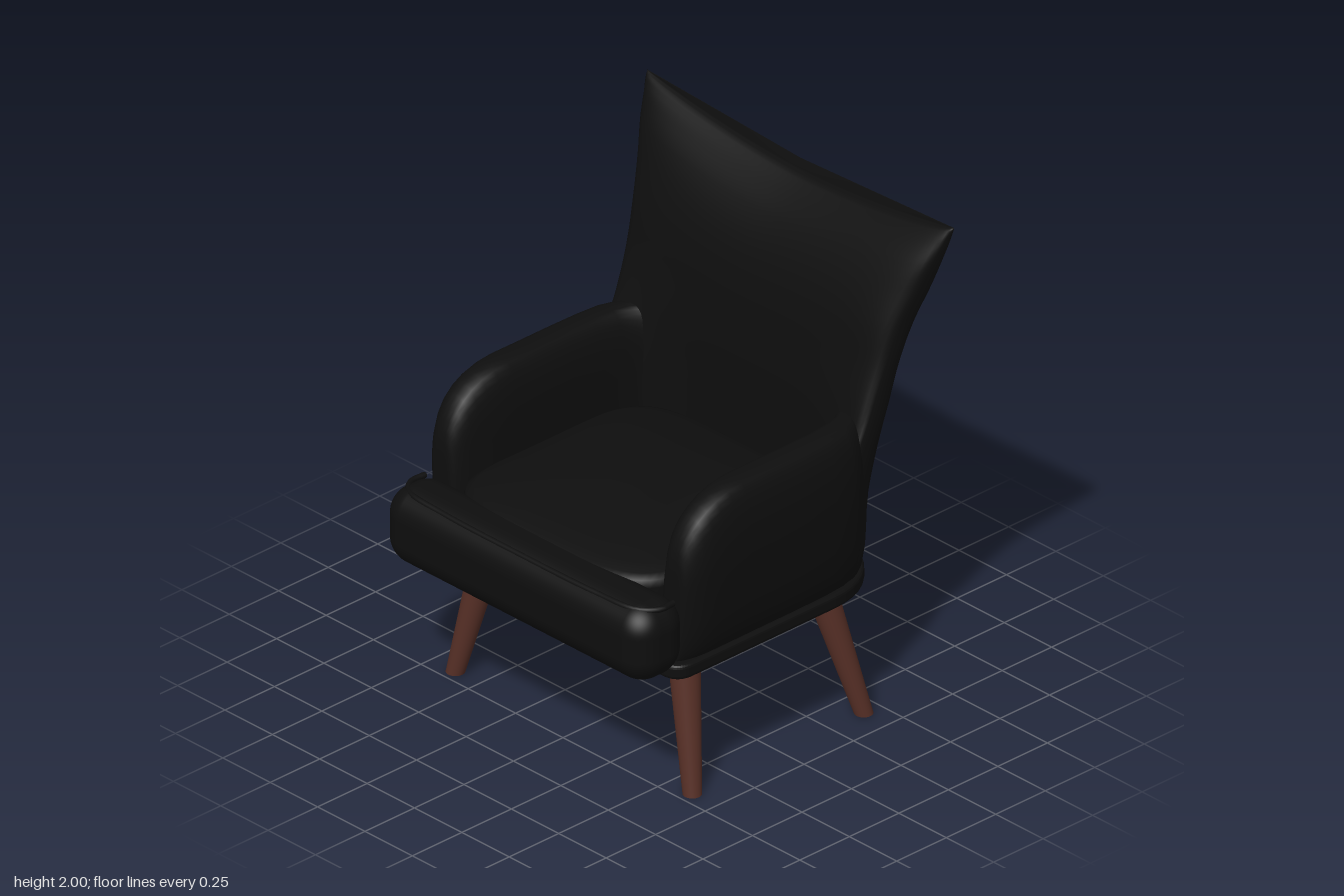
import * as THREE from 'three';
import { RoundedBoxGeometry } from 'three/addons/geometries/RoundedBoxGeometry.js';

const TAU = Math.PI * 2;
const power = (v, e) => Math.sign(v) * Math.abs(v) ** e;
// Quarter-round falloff from 1 at t <= 0 to 0 at t >= 1
const dome = t => Math.sqrt(1 - THREE.MathUtils.clamp(t, 0, 1) ** 2);

// Smooth skin over closed rings of [x, y, z] points, capped at both ends
function loft(rings) {
  const n = rings[0].length, pos = rings.flat(2), index = [];
  for (let i = 0; i < rings.length - 1; i++) {
    for (let j = 0; j < n; j++) {
      const k = (j + 1) % n, a = i * n, b = a + n;
      index.push(a + j, b + j, a + k, a + k, b + j, b + k);
    }
  }
  [0, rings.length - 1].forEach((r, end) => {
    const c = pos.length / 3;
    for (let d = 0; d < 3; d++) pos.push(rings[r].reduce((s, p) => s + p[d], 0) / n);
    for (let j = 0; j < n; j++) {
      const p = r * n + j, q = r * n + (j + 1) % n;
      index.push(c, end ? q : p, end ? p : q);
    }
  });
  const g = new THREE.BufferGeometry();
  g.setAttribute('position', new THREE.Float32BufferAttribute(pos, 3));
  g.setIndex(index);
  g.computeVertexNormals();
  return g;
}

const ring = (n, fn) => Array.from({ length: n }, (_, j) => fn((j / n) * TAU));

// Smooth interpolation through rows of [key, ...values]
function table(rows) {
  const size = rows[0].length - 1;
  const f = new THREE.CubicInterpolant(rows.map(r => r[0]), rows.flatMap(r => r.slice(1)), size, new Float32Array(size));
  return t => Array.from(f.evaluate(t));
}

// Flared back: height, half width, back z, front z, wing advance, edge z
function backGeometry() {
  const rows = [
    [0.57, 0.63, -0.575, -0.41, 0.12, -0.28],
    [0.62, 0.655, -0.58, -0.41, 0.13, -0.28],
    [0.9, 0.665, -0.603, -0.41, 0.13, -0.3],
    [1.1, 0.67, -0.635, -0.41, 0.12, -0.36],
    [1.25, 0.67, -0.66, -0.41, 0.07, -0.44],
    [1.4, 0.678, -0.69, -0.425, 0.02, -0.5],
    [1.55, 0.7, -0.73, -0.45, 0.01, -0.57],
    [1.67, 0.735, -0.757, -0.49, 0, -0.63],
    [1.78, 0.77, -0.772, -0.55, 0, -0.665],
    [1.85, 0.79, -0.772, -0.605, 0, -0.685],
    [1.895, 0.803, -0.755, -0.65, 0, -0.695],
    [1.912, 0.808, -0.73, -0.675, 0, -0.7],
    [1.918, 0.81, -0.705, -0.698, 0, -0.7],
  ];
  const at = table(rows), heights = [];
  for (let i = 0; i < rows.length - 1; i++) {
    for (let s = 0; s < 4; s++) heights.push(rows[i][0] + (rows[i + 1][0] - rows[i][0]) * s / 4);
  }
  heights.push(1.918);
  return loft(heights.map(y => {
    const [w, zb, zf, rise, zm] = at(y);
    const lift = 0.082 * THREE.MathUtils.smoothstep(y, 1.1, 1.9);
    return ring(72, a => {
      const u = Math.cos(a), front = Math.sin(a) >= 0, n = front ? 3.5 : 2.5;
      const face = front ? zf + rise * u ** 4 : zb;
      const z = zm + (face - zm) * Math.max(0, 1 - Math.abs(u) ** n) ** (1 / n);
      return [u * w, y + lift * Math.abs(u) ** 1.7, z];
    });
  }));
}

// Padded arm, skinned from its rounded front to where it sinks into the back
function armGeometry(side) {
  const zs = [0.53, 0.527, 0.52, 0.505, 0.48, 0.45, 0.41, 0.36, 0.3, 0.23, 0.1, -0.05, -0.2, -0.3, -0.36, -0.41, -0.46];
  const span = table([
    [-0.46, 0.42, 0.59], [-0.41, 0.46, 0.645], [-0.36, 0.49, 0.685], [-0.3, 0.5, 0.708],
    [-0.2, 0.51, 0.716], [0.1, 0.51, 0.72], [0.3, 0.515, 0.72], [0.42, 0.525, 0.715], [0.53, 0.535, 0.695],
  ]);
  return loft(zs.map(z => {
    const [inner, outer] = span(z);
    const round = dome((z - 0.44) / 0.09);
    const half = (outer - inner) / 2 * (0.5 + 0.5 * round);
    const top = 0.99 + 0.255 * dome((z - 0.23) / 0.3) - 0.03 * (1 - round);
    const low = 0.56, mid = (low + top) / 2;
    return ring(40, a => {
      const y = mid + (top - low) / 2 * power(Math.sin(a), 0.68);
      const lean = 0.02 * Math.min(0, (y - 0.95) / 0.35);
      return [side * ((inner + outer) / 2 + lean) + half * power(Math.cos(a), 0.68), y, z];
    });
  }));
}

// Crowned seat pad: outline scale and height
function seatGeometry() {
  const rows = [[0.96, 0.6], [1, 0.65], [1, 0.84], [0.985, 0.868], [0.94, 0.882], [0.85, 0.896],
    [0.7, 0.914], [0.5, 0.932], [0.28, 0.944], [0.05, 0.948]];
  return loft(rows.map(([s, y]) => ring(56, a => [
    0.55 * s * power(Math.cos(a), 0.45), y, 0.1 + 0.53 * s * power(Math.sin(a), 0.45),
  ])));
}

// Thin base with broad rear corners and tight front corners
function baseGeometry() {
  const b = 0.015, w = 0.68 - b, f = 0.575 - b, r = -0.585 + b, big = 0.34, small = 0.07;
  const s = new THREE.Shape();
  s.moveTo(-w + small, -f);
  s.lineTo(w - small, -f);
  s.quadraticCurveTo(w, -f, w, -f + small);
  s.lineTo(w, -r - big);
  s.bezierCurveTo(w, -r - big * 0.4, w - big * 0.5, -r, w - big * 1.3, -r);
  s.lineTo(-w + big * 1.3, -r);
  s.bezierCurveTo(-w + big * 0.5, -r, -w, -r - big * 0.4, -w, -r - big);
  s.lineTo(-w, -f + small);
  s.quadraticCurveTo(-w, -f, -w + small, -f);
  const g = new THREE.ExtrudeGeometry(s, { depth: 0.03, bevelThickness: b, bevelSize: b, bevelSegments: 3, curveSegments: 12 });
  return g.rotateX(-Math.PI / 2).translate(0, 0.53 + b, 0);
}

// Tapered leg, sheared so both ends stay level
function legGeometry(top, foot) {
  const h = 0.55, g = new THREE.CylinderGeometry(0.063, 0.036, h, 28).translate(0, h / 2, 0);
  const m = new THREE.Matrix4().set(
    1, (top[0] - foot[0]) / h, 0, foot[0],
    0, 1, 0, 0,
    0, (top[1] - foot[1]) / h, 1, foot[1],
    0, 0, 0, 1);
  return g.applyMatrix4(m);
}

export function createModel() {
  const model = new THREE.Group();
  const fabric = new THREE.MeshStandardMaterial({ color: 0x0e0e0e });
  fabric.name = 'black fabric';
  const wood = new THREE.MeshStandardMaterial({ color: 0x562f26 });
  wood.name = 'dark wood';
  const add = (name, geometry, material = fabric) => {
    const mesh = new THREE.Mesh(geometry, material);
    mesh.name = name;
    model.add(mesh);
  };

  add('base', baseGeometry());
  add('back', backGeometry());
  add('seatCushion', seatGeometry());

  // Front roll of the cushion, with piping along its upper edge
  const roll = new RoundedBoxGeometry(1.39, 0.315, 0.26, 8, 0.11);
  add('seatFrontRoll', roll.translate(0, 0.722, 0.642));
  const path = new THREE.CatmullRomCurve3([
    [-0.655, 0.862, 0.57], [-0.655, 0.862, 0.64], [-0.6, 0.862, 0.7], [-0.4, 0.858, 0.717], [0, 0.856, 0.72],
    [0.4, 0.858, 0.717], [0.6, 0.862, 0.7], [0.655, 0.862, 0.64], [0.655, 0.862, 0.57],
  ].map(p => new THREE.Vector3(...p)));
  add('cushionPiping', new THREE.TubeGeometry(path, 64, 0.012, 8));

  for (const side of [1, -1]) {
    const label = side > 0 ? 'left' : 'right';
    add(label + 'Arm', armGeometry(side));
    add(label + 'FrontLeg', legGeometry([side * 0.51, 0.38], [side * 0.625, 0.445]), wood);
    add(label + 'BackLeg', legGeometry([side * 0.51, -0.3], [side * 0.625, -0.42]), wood);
  }
  return model;
}
